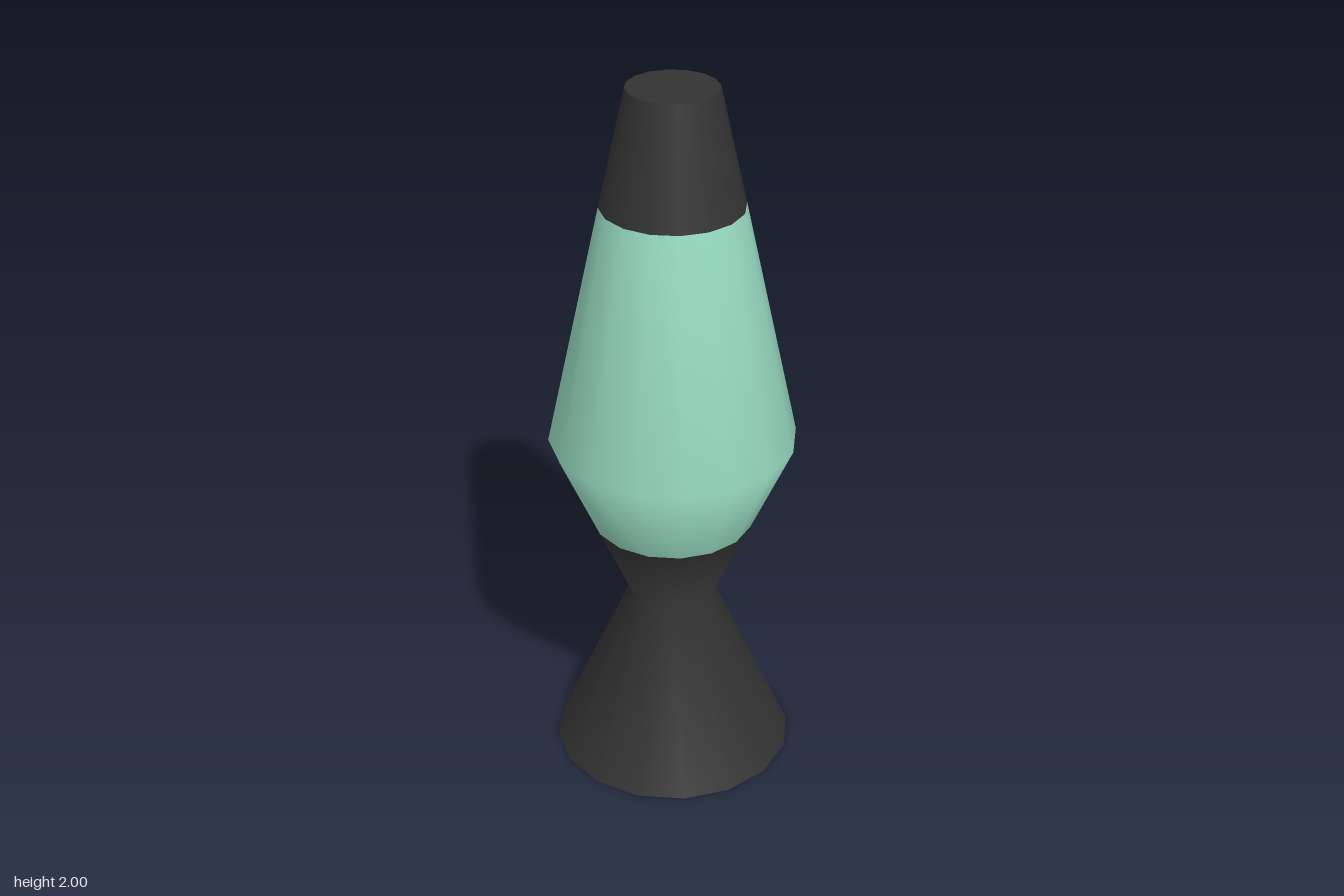
import * as THREE from 'three';

const SIDES = 16;

// Smooth band turned around the y axis from [radius, height] points, bottom to top
function band(name, points, material) {
  const profile = points.map(([r, y]) => new THREE.Vector2(r, y));
  const mesh = new THREE.Mesh(new THREE.LatheGeometry(profile, SIDES), material);
  mesh.name = name;
  return mesh;
}

// Flat disc closing an end, facing up or down
function disc(name, radius, y, up, material) {
  const geometry = new THREE.CircleGeometry(radius, SIDES);
  geometry.rotateX(up ? -Math.PI / 2 : Math.PI / 2);
  const mesh = new THREE.Mesh(geometry, material);
  mesh.name = name;
  mesh.position.y = y;
  return mesh;
}

export function createModel() {
  const dark = new THREE.MeshStandardMaterial({ color: 0x333333 });
  const green = new THREE.MeshStandardMaterial({ color: 0x98dcc2 });

  const lamp = new THREE.Group();
  lamp.name = 'lavaLamp';

  // Hourglass base
  const base = new THREE.Group();
  base.name = 'base';
  base.add(
    band('baseBody', [[0.34, 0], [0.12, 0.5], [0.225, 0.74]], dark),
    disc('baseBottom', 0.34, 0, false, dark)
  );

  // Coloured glass, widest at its lower third
  const glass = band('glass', [[0.225, 0.74], [0.34, 1], [0.193, 1.68]], green);

  // Tapered cap
  const cap = new THREE.Group();
  cap.name = 'cap';
  cap.add(
    band('capBody', [[0.193, 1.68], [0.122, 2]], dark),
    disc('capTop', 0.122, 2, true, dark)
  );

  lamp.add(base, glass, cap);
  return lamp;
}
